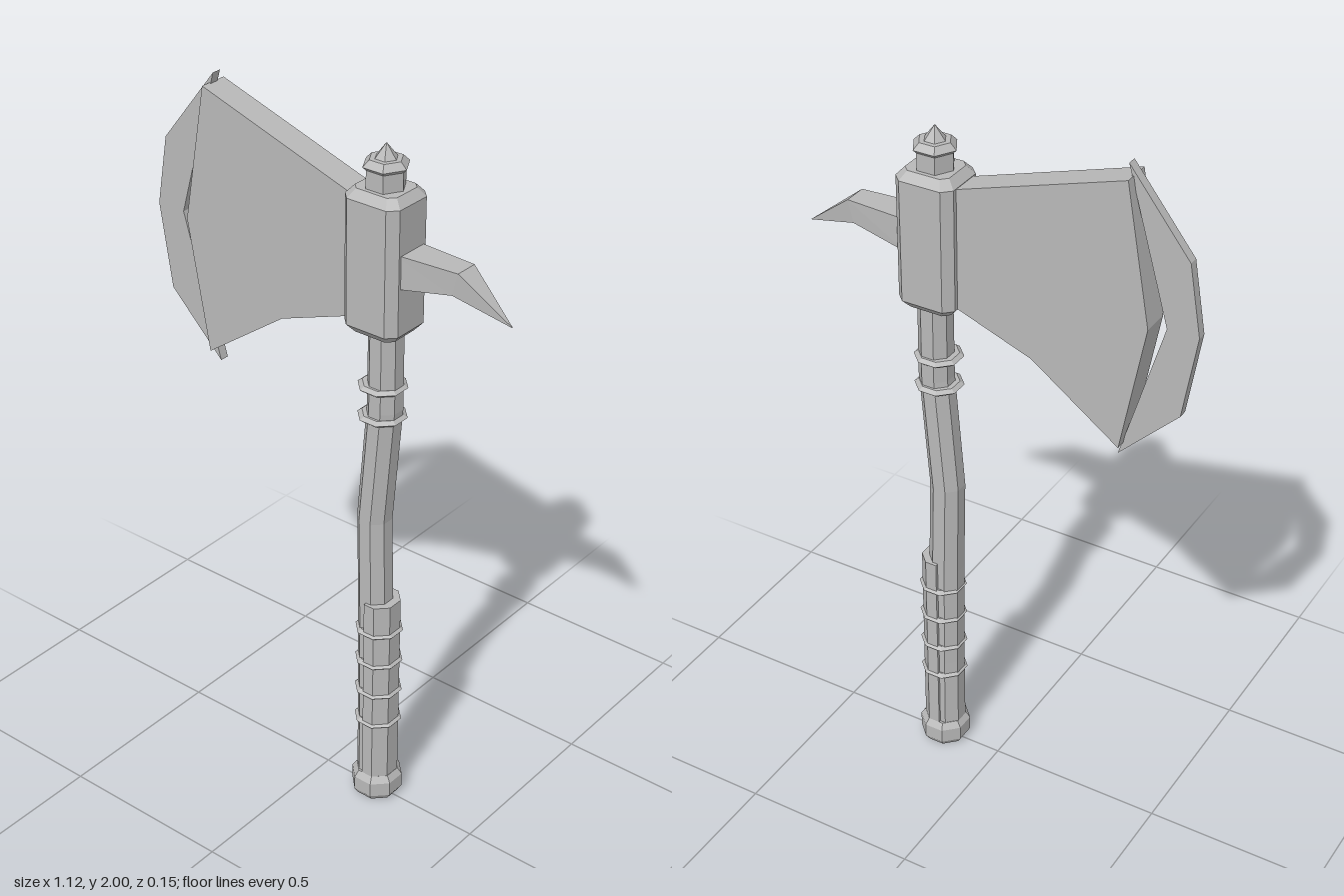
import * as THREE from 'three';

// Faceted solid through matching cross-sections, capped at both ends
function loft(sections) {
  const pos = [];
  const n = sections[0].length;
  const tri = (a, b, c) => pos.push(...a, ...b, ...c);
  for (let i = 0; i < sections.length - 1; i++) {
    const lo = sections[i], hi = sections[i + 1];
    for (let j = 0; j < n; j++) {
      const k = (j + 1) % n;
      tri(lo[j], lo[k], hi[k]);
      tri(lo[j], hi[k], hi[j]);
    }
  }
  const first = sections[0], last = sections[sections.length - 1];
  for (let j = 1; j < n - 1; j++) {
    tri(first[0], first[j + 1], first[j]);
    tri(last[0], last[j], last[j + 1]);
  }
  const geo = new THREE.BufferGeometry();
  geo.setAttribute('position', new THREE.Float32BufferAttribute(pos, 3));
  geo.computeVertexNormals();
  return geo;
}

// Horizontal regular polygon; r is the corner radius
function ring(x, y, r, sides, turn = 0) {
  return Array.from({ length: sides }, (_, i) => {
    const a = (i / sides) * Math.PI * 2 + turn;
    return [x + r * Math.cos(a), y, -r * Math.sin(a)];
  });
}

// Octagon with flat sides facing the axes; r is the distance to the flats
const octagon = (x, y, r) => ring(x, y, r / Math.cos(Math.PI / 8), 8, Math.PI / 8);

// Rectangle with cut corners
function cutRect(x, y, w, d, c) {
  return [[w, d - c], [w, c - d], [w - c, -d], [c - w, -d],
    [-w, c - d], [-w, d - c], [c - w, d], [w - c, d]].map(([px, pz]) => [x + px, y, pz]);
}

// Flat plate outlined in x and y, centred on z = 0
function plate(points, depth) {
  const shape = new THREE.Shape(points.map(([x, y]) => new THREE.Vector2(x, y)));
  const geo = new THREE.ExtrudeGeometry(shape, { depth, bevelEnabled: false });
  return geo.translate(0, 0, -depth / 2);
}

export function createModel() {
  const model = new THREE.Group();
  const steel = new THREE.MeshStandardMaterial({ color: 0xb8b8b8 });
  steel.name = 'grey steel';
  const add = (name, geo) => {
    const mesh = new THREE.Mesh(geo, steel);
    mesh.name = name;
    model.add(mesh);
  };
  const cx = 0.176;

  // Curved octagonal handle: [x, y, radius]
  add('handle', loft([
    [0.168, 0.05, 0.047], [0.167, 0.3, 0.046], [0.163, 0.62, 0.045], [0.156, 0.9, 0.044],
    [0.184, 1.24, 0.044], [0.184, 1.48, 0.043],
  ].map(([x, y, r]) => octagon(x, y, r))));

  // Grip plate hugging the back of the handle
  const grip = (y) => [[0.165, 0.054], [0.198, 0.054], [0.229, 0.023],
    [0.229, -0.023], [0.198, -0.054], [0.165, -0.054]].map(([x, z]) => [x, y, z]);
  add('grip', loft([grip(0.06), grip(0.65)]));

  // Thin bands, sharp at the rim
  for (const y of [0.255, 0.355, 0.455, 0.555, 1.215, 1.302]) {
    add('band', loft([octagon(cx, y - 0.009, 0.05), octagon(cx, y, 0.061), octagon(cx, y + 0.009, 0.05)]));
  }

  // Pommel
  add('pommel', loft([
    octagon(cx, 0, 0.055), octagon(cx, 0.018, 0.066), octagon(cx, 0.06, 0.066), octagon(cx, 0.078, 0.054),
  ]));

  // Chamfered head block
  add('headBlock', loft([
    cutRect(cx, 1.46, 0.063, 0.056, 0.017), cutRect(cx, 1.483, 0.083, 0.076, 0.024),
    cutRect(cx, 1.822, 0.083, 0.076, 0.024), cutRect(cx, 1.845, 0.063, 0.056, 0.017),
  ]));

  // Hexagonal neck, collar and point on top
  add('neck', loft([ring(cx, 1.84, 0.052, 6), ring(cx, 1.905, 0.052, 6)]));
  add('collar', loft([ring(cx, 1.89, 0.05, 6), ring(cx, 1.901, 0.061, 6), ring(cx, 1.918, 0.044, 6)]));
  add('topPoint', loft([ring(cx, 1.91, 0.036, 6), ring(cx, 1.955, 0.001, 6)]));

  // Axe blade with a separate crescent cutting edge
  add('blade', plate([
    [0.11, 1.815], [-0.37, 1.97], [-0.437, 1.59], [-0.37, 1.225], [-0.12, 1.405], [0.11, 1.49],
  ], 0.08));
  add('cuttingEdge', plate([
    [-0.357, 2], [-0.527, 1.785], [-0.56, 1.59], [-0.522, 1.355], [-0.357, 1.19], [-0.474, 1.59],
  ], 0.026));

  // Hooked rear spike: [top x, top y, bottom x, bottom y, half width]
  add('rearSpike', loft([
    [0.24, 1.7, 0.24, 1.608, 0.046], [0.418, 1.7, 0.403, 1.638, 0.033], [0.556, 1.591, 0.555, 1.59, 0.0008],
  ].map(([tx, ty, bx, by, w]) => [[bx, by, -w], [tx, ty, -w], [tx, ty, w], [bx, by, w]])));

  return model;
}
